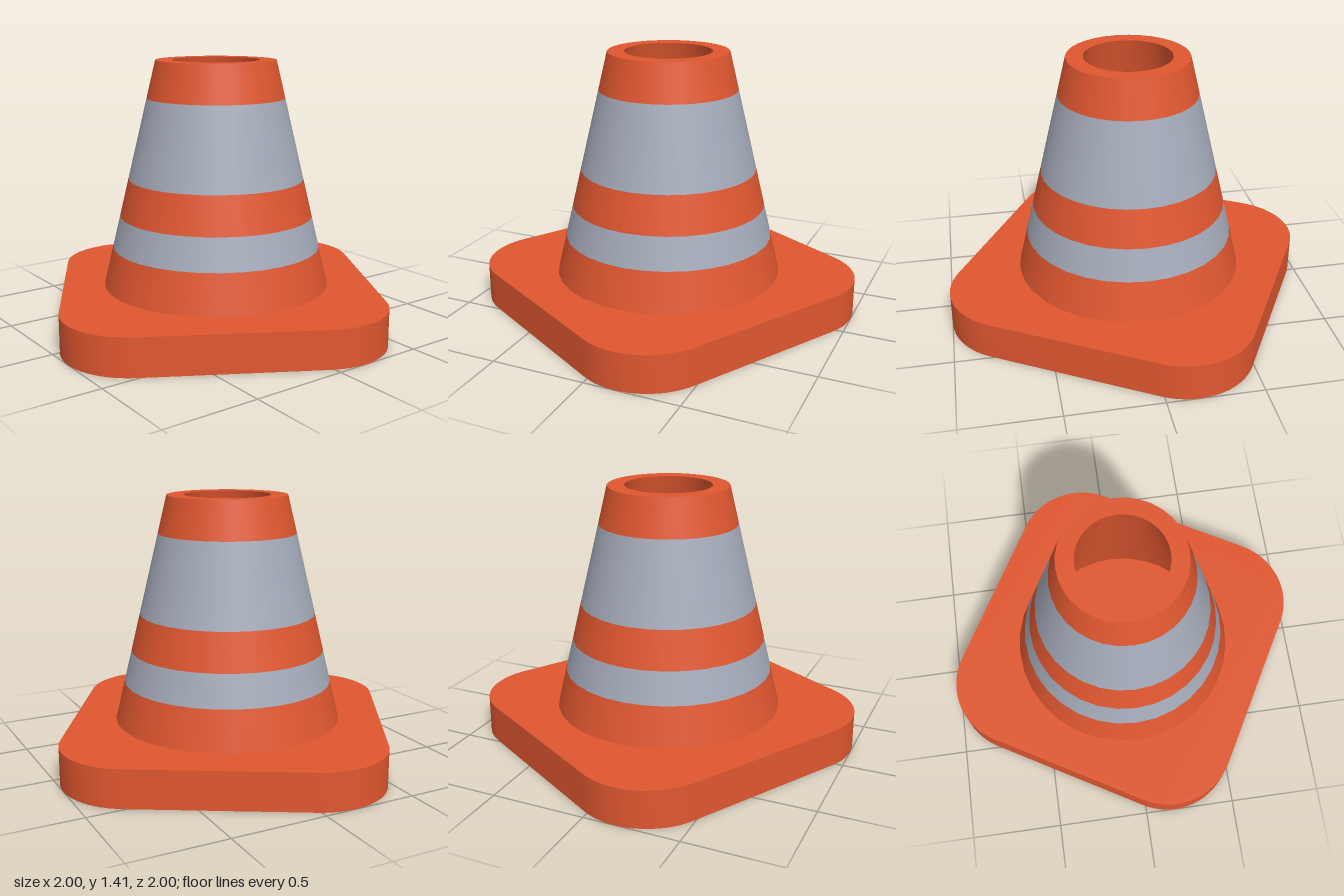
import * as THREE from 'three';
import { toCreasedNormals } from 'three/addons/utils/BufferGeometryUtils.js';

const BASE_TOP = 0.2, TOP = 1.41;
const SEGMENTS = 32;

// Outer radius of the cone at a given height
const radiusAt = (y) => THREE.MathUtils.mapLinear(y, BASE_TOP, TOP, 0.61, 0.32);

export function createModel() {
  const group = new THREE.Group();
  group.name = 'trafficCone';

  const orange = new THREE.MeshStandardMaterial({ name: 'orange', color: 0xe05730 });
  const grey = new THREE.MeshStandardMaterial({ name: 'reflectiveGrey', color: 0xa5abba });

  const add = (name, geometry, material) => {
    const mesh = new THREE.Mesh(geometry, material);
    mesh.name = name;
    group.add(mesh);
    return mesh;
  };
  const ring = (r0, y0, r1, y1) =>
    new THREE.LatheGeometry([new THREE.Vector2(r0, y0), new THREE.Vector2(r1, y1)], SEGMENTS);

  // Square foot with rounded corners, turned 30 degrees
  const c = 0.459, r = 0.373;
  const outline = new THREE.Shape();
  [[1, 1], [-1, 1], [-1, -1], [1, -1]].forEach(([sx, sy], i) => {
    const start = i * Math.PI / 2;
    outline.absarc(sx * c, sy * c, r, start, start + Math.PI / 2, false);
  });
  const foot = new THREE.ExtrudeGeometry(outline, { depth: BASE_TOP, bevelEnabled: false, curveSegments: 8 });
  foot.rotateX(-Math.PI / 2);
  add('base', toCreasedNormals(foot, Math.PI / 6), orange).rotation.y = -Math.PI / 6;

  // Outer wall in alternating bands, bottom to top
  const heights = [BASE_TOP, 0.41, 0.58, 0.78, 1.21, TOP];
  const names = ['lowerBand', 'lowerStripe', 'middleBand', 'upperStripe', 'upperBand'];
  names.forEach((name, i) => {
    const y0 = heights[i], y1 = heights[i + 1];
    add(name, ring(radiusAt(y0), y0, radiusAt(y1), y1), i % 2 ? grey : orange);
  });

  // Flat rim and hollow inside
  const wall = 0.09;
  add('rim', ring(radiusAt(TOP), TOP, radiusAt(TOP) - wall, TOP), orange);
  add('innerWall', ring(radiusAt(TOP) - wall, TOP, radiusAt(BASE_TOP) - wall, BASE_TOP), orange);

  return group;
}
